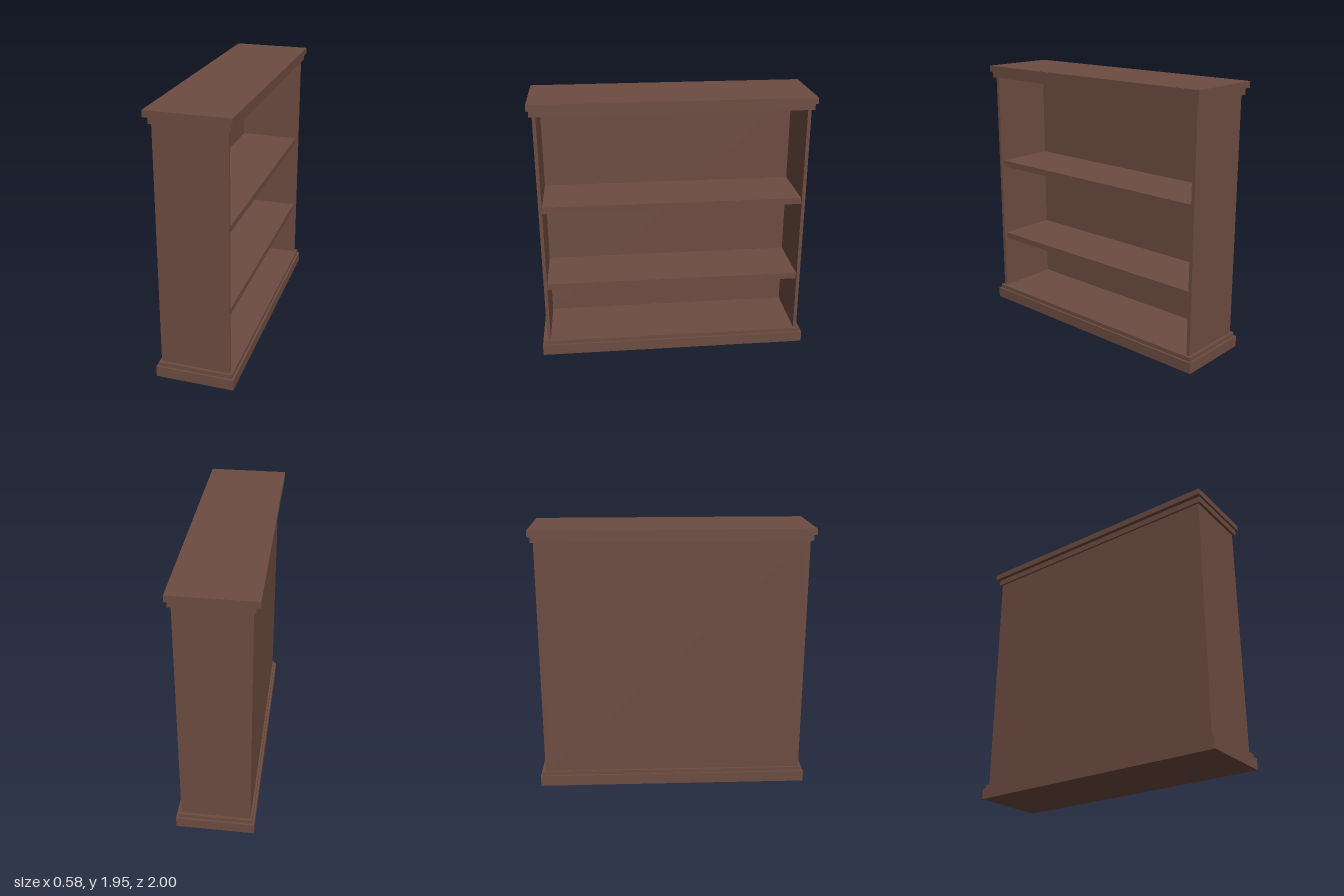
import * as THREE from 'three';

export function createModel() {
  const group = new THREE.Group();
  const wood = new THREE.MeshStandardMaterial({ color: 0x6d4c41 });
  wood.name = 'brown wood';

  // Board spanning the given x, y and z ranges
  function board(name, [x0, x1], [y0, y1], [z0, z1]) {
    const mesh = new THREE.Mesh(new THREE.BoxGeometry(x1 - x0, y1 - y0, z1 - z0), wood);
    mesh.position.set((x0 + x1) / 2, (y0 + y1) / 2, (z0 + z1) / 2);
    mesh.name = name;
    group.add(mesh);
  }

  // Stepped plinth and crown
  board('plinth', [-0.275, 0.29], [0, 0.08], [-1, 1]);
  board('plinthStep', [-0.26, 0.275], [0.08, 0.11], [-0.985, 0.985]);
  board('crownStep', [-0.26, 0.275], [1.855, 1.9], [-0.985, 0.985]);
  board('topSlab', [-0.29, 0.29], [1.9, 1.945], [-1, 1]);

  // Side panels at both ends
  for (const s of [-1, 1]) {
    const z = [s * 0.94, s * 0.965].sort((a, b) => a - b);
    board('sidePanel', [-0.245, 0.255], [0.11, 1.855], z);
  }

  // Closed back; the open side faces +x
  board('backPanel', [-0.245, -0.22], [0.11, 1.855], [-0.94, 0.94]);

  // Shelves, set slightly behind the side panel edges
  for (const y of [0.525, 1.138]) {
    board('shelf', [-0.22, 0.235], [y, y + 0.047], [-0.94, 0.94]);
  }

  return group;
}
